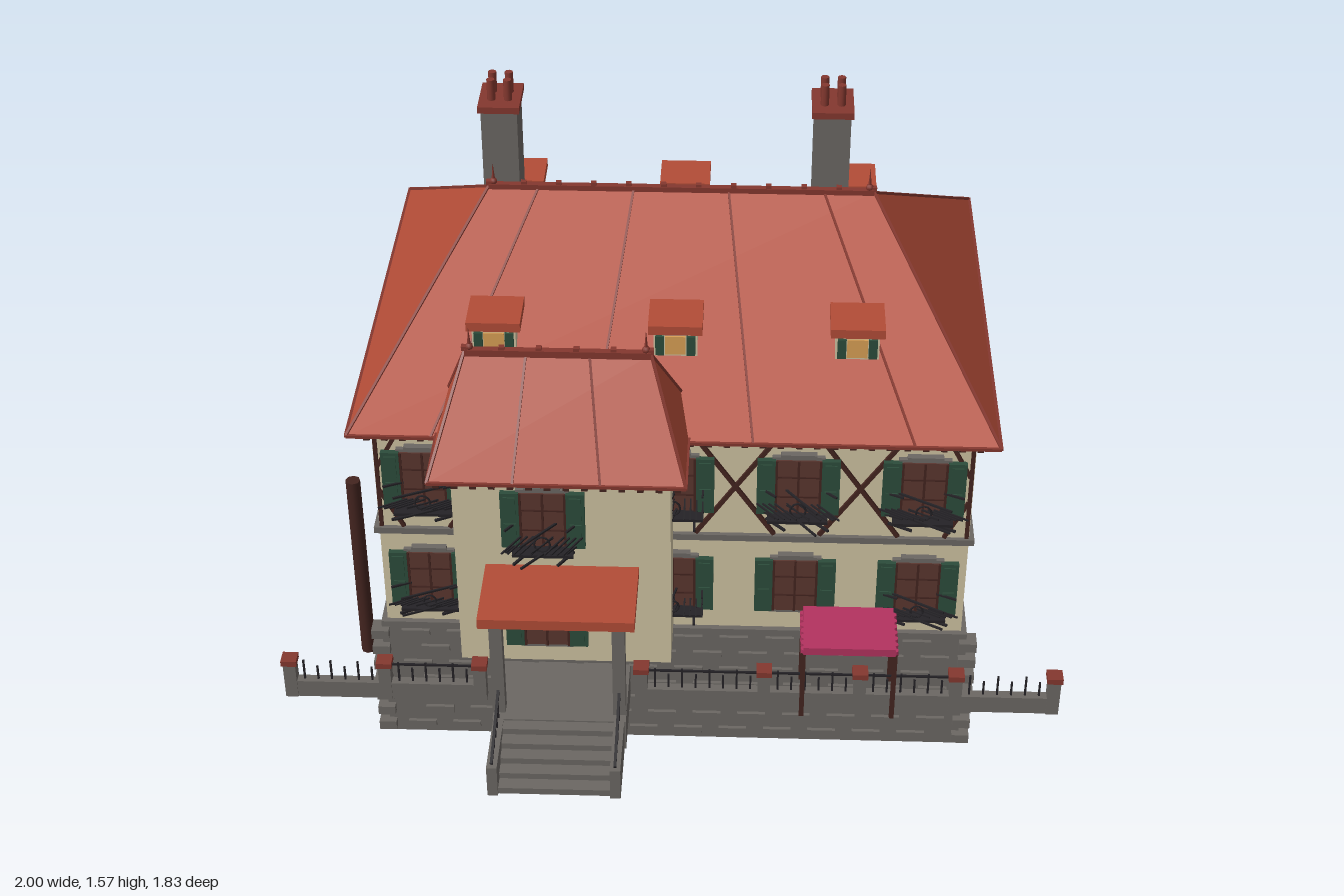
import * as THREE from 'three';

const mat = (name, color) => new THREE.MeshStandardMaterial({ name, color });

export function createModel() {
  const M = {
    wall: mat('cream plaster', 0xcfc3a2), stone: mat('grey stone', 0x6b6763),
    roof: mat('red tile', 0xb24c37), trim: mat('dark red trim', 0x84382f),
    pink: mat('pink canvas', 0xb3325f), green: mat('green shutter', 0x2c4c3b),
    pane: mat('brown window', 0x5a362f), timber: mat('dark timber', 0x43241f),
    iron: mat('black iron', 0x242226), glow: mat('amber window', 0xd9a055),
  };
  const root = new THREE.Group();
  root.name = 'house';
  const V = (x, y, z) => new THREE.Vector3(x, y, z);
  const add = (p, name, geo, m, x = 0, y = 0, z = 0) => {
    const o = new THREE.Mesh(geo, m);
    o.name = name;
    o.position.set(x, y, z);
    p.add(o);
    return o;
  };
  // box given by its limits on each axis
  const box = (p, name, m, x0, x1, y0, y1, z0, z1) =>
    add(p, name, new THREE.BoxGeometry(x1 - x0, y1 - y0, z1 - z0), m, (x0 + x1) / 2, (y0 + y1) / 2, (z0 + z1) / 2);
  // square bar between two points
  const bar = (p, name, m, a, b, w) => {
    const o = add(p, name, new THREE.BoxGeometry(w, w, a.distanceTo(b)), m);
    o.position.copy(a).add(b).multiplyScalar(0.5);
    o.lookAt(b);
    return o;
  };
  const group = (name, p = root) => {
    const g = new THREE.Group();
    g.name = name;
    p.add(g);
    return g;
  };

  // Plinth, walls and string course
  box(root, 'plinth', M.stone, -0.77, 0.77, 0, 0.38, -0.835, 0.335);
  box(root, 'walls', M.wall, -0.755, 0.755, 0.38, 1.0, -0.82, 0.32);
  box(root, 'towerWalls', M.wall, -0.54, 0, 0.385, 1.0, 0.2, 0.48);
  box(root, 'stringCourse', M.stone, -0.768, 0.768, 0.67, 0.688, -0.832, 0.332);

  // Corner quoins and raised stones on the front and back of the plinth
  const stones = group('stonework');
  for (let r = 0; r < 7; r++) {
    const y = 0.018 + r * 0.053;
    for (const sx of [-1, 1]) for (const z of [0.331, -0.831])
      add(stones, 'quoin', new THREE.BoxGeometry(0.046, 0.027, 0.048), M.stone, sx * 0.773, y + 0.013, z);
    for (let c = 0; c < 12; c++) for (const z of [0.335, -0.835])
      add(stones, 'raisedStone', new THREE.BoxGeometry(0.075, 0.02, 0.02), M.stone,
        -0.68 + c * 0.12 + (r % 2) * 0.05, y + 0.013, z);
  }

  // Hipped roof with seams, ridge beads, finials and dentils
  function hipRoof(name, x0, x1, z0, z1, y0, rx0, rx1, rz, ry, seams) {
    const g = group(name);
    const a = V(x0, y0, z1), b = V(x1, y0, z1), c = V(x1, y0, z0), d = V(x0, y0, z0);
    const l = V(rx0, ry, rz), r = V(rx1, ry, rz);
    const tris = [a, b, r, a, r, l, b, c, r, c, d, l, c, l, r, d, a, l, a, d, c, a, c, b];
    const geo = new THREE.BufferGeometry().setFromPoints(tris);
    geo.computeVertexNormals();
    add(g, 'roofSlopes', geo, M.roof);
    const eave = [a, b, c, d];
    eave.forEach((p, i) => {
      bar(g, 'eaveEdge', M.trim, p, eave[(i + 1) % 4], 0.008);
      bar(g, 'hipSeam', M.trim, p, i === 0 || i === 3 ? l : r, 0.007);
    });
    for (const t of seams) for (const z of [z0, z1])
      bar(g, 'roofSeam', M.trim, V(x0 + (x1 - x0) * t, y0, z), V(rx0 + (rx1 - rx0) * t, ry, rz), 0.006);
    bar(g, 'ridge', M.trim, l, r, 0.018);
    const n = Math.round((rx1 - rx0) / 0.09);
    for (let i = 0; i <= n; i++)
      add(g, 'ridgeBead', new THREE.BoxGeometry(0.014, 0.012, 0.014), M.trim, rx0 + (rx1 - rx0) * i / n, ry + 0.011, rz);
    for (const x of [rx0 + 0.012, rx1 - 0.012]) {
      add(g, 'finial', new THREE.ConeGeometry(0.007, 0.07, 6), M.trim, x, ry + 0.035, rz);
      add(g, 'finialBall', new THREE.SphereGeometry(0.01, 8, 6), M.trim, x, ry + 0.015, rz);
    }
    return g;
  }
  const dentils = (g, x0, x1, z, depth) => {
    const n = Math.round((x1 - x0) / 0.045);
    for (let i = 0; i <= n; i++)
      add(g, 'dentil', new THREE.BoxGeometry(0.016, 0.014, depth), M.timber, x0 + (x1 - x0) * i / n, 0.991, z);
  };
  const mainRoof = hipRoof('mainRoof', -0.81, 0.81, -0.88, 0.37, 1.0, -0.5, 0.5, -0.255, 1.365, [0.13, 0.377, 0.623, 0.87]);
  dentils(mainRoof, -0.76, 0.76, 0.343, 0.04);
  dentils(mainRoof, -0.76, 0.76, -0.853, 0.04);
  const towerRoof = hipRoof('towerRoof', -0.585, 0.04, 0.2, 0.565, 1.004, -0.5, -0.05, 0.38, 1.265, [0.33, 0.67]);
  dentils(towerRoof, -0.565, 0.02, 0.54, 0.035);

  // Dormers on both slopes
  for (const [zMid, turn] of [[0.11, 0], [-0.62, Math.PI]]) for (const x of [-0.455, 0, 0.455]) {
    const d = group('dormer');
    d.position.set(x, 0, zMid);
    d.rotation.y = turn;
    box(d, 'dormerWalls', M.wall, -0.055, 0.055, 1.09, 1.19, -0.055, 0.052);
    box(d, 'dormerRoof', M.roof, -0.068, 0.068, 1.19, 1.215, -0.065, 0.065);
    box(d, 'dormerWindow', M.glow, -0.026, 0.026, 1.128, 1.18, 0.05, 0.057);
    for (const s of [-1, 1])
      add(d, 'dormerShutter', new THREE.BoxGeometry(0.022, 0.055, 0.009), M.green, s * 0.039, 1.154, 0.055);
  }

  // Chimneys
  for (const x of [-0.485, 0.392]) {
    const c = group('chimney');
    c.position.set(x, 0, -0.475);
    box(c, 'stack', M.stone, -0.048, 0.048, 1.15, 1.5, -0.063, 0.063);
    box(c, 'cap', M.trim, -0.055, 0.055, 1.497, 1.515, -0.072, 0.072);
    for (const sx of [-1, 1]) for (const sz of [-1, 1])
      add(c, 'pot', new THREE.CylinderGeometry(0.011, 0.011, 0.06, 8), M.trim, sx * 0.022, 1.543, sz * 0.023);
  }

  // Iron railing with floor and brackets, facing +z
  function balcony(p, y, h, bracket) {
    const g = group('balcony', p), w = 0.076, d = 0.055;
    box(g, 'balconyFloor', M.iron, -w, w, y, y + 0.008, 0, d);
    for (const yy of [y + h, y + h * 0.15]) {
      bar(g, 'frontRail', M.iron, V(-w, yy, d), V(w, yy, d), 0.005);
      for (const s of [-1, 1]) bar(g, 'sideRail', M.iron, V(s * w, yy, 0), V(s * w, yy, d), 0.005);
    }
    for (let i = 0; i <= 10; i++) {
      if (i > 3 && i < 7) continue;
      const x = -w + w * 0.2 * i;
      bar(g, 'baluster', M.iron, V(x, y, d), V(x, y + h, d), 0.004);
    }
    const ring = add(g, 'railRing', new THREE.TorusGeometry(h * 0.28, 0.003, 4, 12), M.iron, 0, y + h * 0.55, d);
    ring.scale.x = 0.9;
    for (const s of [-1, 1]) {
      bar(g, 'ringBrace', M.iron, V(-0.028, y + h * (0.5 - s * 0.4), d), V(0.028, y + h * (0.5 + s * 0.4), d), 0.003);
      bar(g, 'bracket', M.iron, V(s * 0.055, y - bracket, 0.003), V(s * 0.055, y, d - 0.005), 0.006);
    }
  }
  // Shuttered window facing +z
  function makeWindow(x, y, z, turn, rail) {
    const g = group('window');
    g.position.set(x, 0, z);
    g.rotation.y = turn;
    box(g, 'frame', M.stone, -0.066, 0.066, y - 0.092, y + 0.088, 0, 0.012);
    box(g, 'lintel', M.stone, -0.045, 0.045, y + 0.088, y + 0.098, 0, 0.018);
    box(g, 'panes', M.pane, -0.055, 0.055, y - 0.082, y + 0.08, 0.011, 0.016);
    for (const t of [-0.055, 0, 0.055])
      box(g, 'mullion', M.timber, t - 0.003, t + 0.003, y - 0.082, y + 0.08, 0.014, 0.02);
    for (const t of [-0.03, 0.03])
      box(g, 'crossbar', M.timber, -0.055, 0.055, y + t - 0.002, y + t + 0.002, 0.014, 0.019);
    for (const s of [-1, 1]) {
      add(g, 'shutter', new THREE.BoxGeometry(0.046, 0.165, 0.015), M.green, s * 0.081, y, 0.014);
      for (const t of [-0.04, 0.04])
        add(g, 'shutterPanel', new THREE.BoxGeometry(0.03, 0.065, 0.005), M.green, s * 0.081, y + t, 0.023);
    }
    if (rail === 'balcony') balcony(g, 0.76, 0.078, 0.045);
    if (rail === 'low') balcony(g, 0.45, 0.065, 0.04);
  }
  const UP = 0.848, LOW = 0.532;
  for (const x of [-0.63, -0.315, 0, 0.315, 0.63]) {
    makeWindow(x, UP, -0.82, Math.PI, 'balcony');
    makeWindow(x, LOW, -0.82, Math.PI);
    const z = x === -0.315 ? 0.48 : 0.32;
    makeWindow(x, UP, z, 0, 'balcony');
    makeWindow(x, LOW, z, 0, Math.abs(x) === 0.315 ? '' : 'low');
  }

  // Timber framing on the upper storey, front and back
  for (const z of [0.323, -0.823]) {
    const t = group('timberFraming');
    for (const x of [-0.4725, -0.1575, 0.1575, 0.4725]) for (const s of [-1, 1])
      bar(t, 'crossBrace', M.timber, V(x - s * 0.1, 0.69, z), V(x + s * 0.1, 0.985, z), 0.011);
    for (const s of [-1, 1]) {
      bar(t, 'cornerPost', M.timber, V(s * 0.748, 0.69, z), V(s * 0.748, 0.99, z), 0.01);
      for (const [a, b] of [[0.69, 0.8], [0.985, 0.88]])
        bar(t, 'cornerBrace', M.timber, V(s * 0.69, a, z), V(s * 0.745, b, z), 0.01);
    }
    bar(t, 'topPlate', M.timber, V(-0.75, 0.985, z), V(0.75, 0.985, z), 0.01);
  }

  // Tall dark poles near three corners
  for (const [x, z] of [[0.82, -0.775], [-0.82, -0.775], [-0.82, 0.285]])
    add(root, 'pole', new THREE.CylinderGeometry(0.019, 0.019, 0.56, 8), M.timber, x, 0.523, z);

  // Porch with columns, steps and sloping handrails
  const porch = group('porch');
  box(porch, 'porchRoof', M.roof, -0.465, -0.08, 0.667, 0.695, 0.48, 0.7);
  box(porch, 'landing', M.stone, -0.44, -0.105, 0.285, 0.375, 0.48, 0.7);
  for (let i = 0; i < 5; i++)
    box(porch, 'step', M.stone, -0.425, -0.12, 0.285, 0.303 + i * 0.017, 0.48, 0.872 - i * 0.035);
  for (const x of [-0.425, -0.122]) {
    box(porch, 'column', M.stone, x - 0.016, x + 0.016, 0.375, 0.667, 0.642, 0.675);
    box(porch, 'cheekWall', M.stone, x - 0.013, x + 0.013, 0.285, 0.375, 0.48, 0.88);
    bar(porch, 'handrail', M.iron, V(x, 0.385, 0.875), V(x, 0.45, 0.66), 0.007);
    for (let i = 1; i < 6; i++)
      bar(porch, 'handrailBar', M.iron, V(x, 0.37, 0.875 - i * 0.036), V(x, 0.385 + i * 0.011, 0.875 - i * 0.036), 0.004);
  }

  // Garden wall with capped posts and iron bars
  const fence = group('fence');
  for (const run of [[-0.98, -0.735, -0.49], [-0.075, 0.24, 0.485, 0.73, 0.98]]) {
    box(fence, 'lowWall', M.stone, run[0], run[run.length - 1], 0.288, 0.338, 0.507, 0.533);
    run.forEach((x, i) => {
      box(fence, 'fencePost', M.stone, x - 0.016, x + 0.016, 0.288, 0.392, 0.504, 0.536);
      box(fence, 'postCap', M.trim, x - 0.02, x + 0.02, 0.392, 0.408, 0.5, 0.54);
      if (i === run.length - 1) return;
      const next = run[i + 1], n = Math.round((next - x) / 0.035);
      for (let k = 1; k < n; k++) {
        const bx = x + (next - x) * k / n;
        bar(fence, 'fenceBar', M.iron, V(bx, 0.335, 0.52), V(bx, 0.38 + (k % 2) * 0.018, 0.52), 0.005);
      }
      if (Math.abs(x + next) < 1.25) bar(fence, 'fenceRail', M.iron, V(x, 0.392, 0.52), V(next, 0.392, 0.52), 0.005);
    });
  }

  // Pink garden canopy with scalloped ends
  const canopy = group('canopy');
  box(canopy, 'canopyTop', M.pink, 0.337, 0.568, 0.495, 0.517, 0.4, 0.567);
  for (const x of [0.337, 0.568]) {
    for (let i = 0; i < 7; i++)
      add(canopy, 'scallop', new THREE.CylinderGeometry(0.009, 0.009, 0.014, 6), M.pink, x, 0.499, 0.413 + i * 0.0235);
    for (const z of [0.413, 0.556])
      box(canopy, 'canopyLeg', M.timber, x - 0.006, x + 0.006, 0.285, 0.495, z - 0.006, z + 0.006);
  }
  return root;
}
